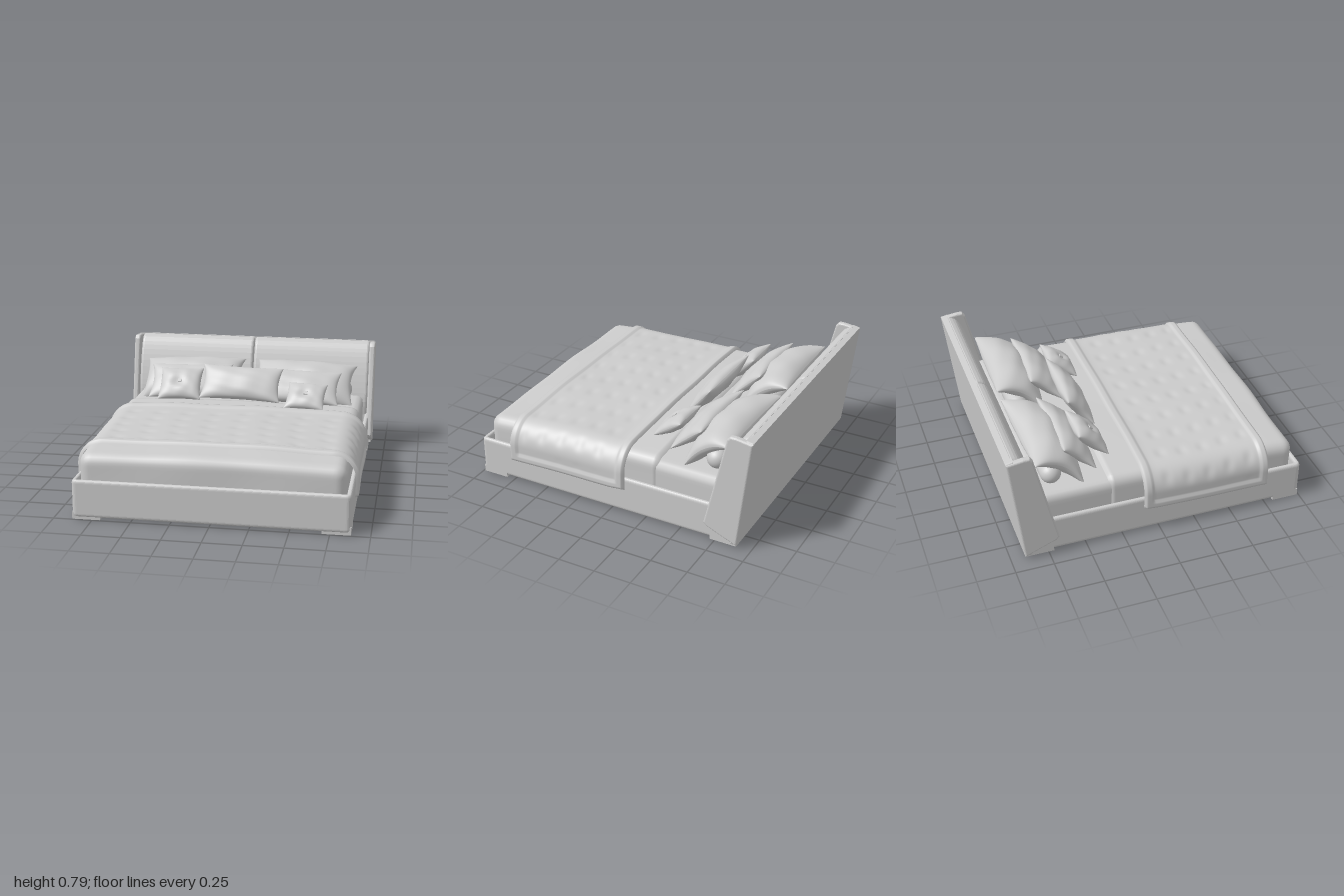
import * as THREE from 'three';
import { mergeGeometries } from 'three/addons/utils/BufferGeometryUtils.js';

const material = new THREE.MeshStandardMaterial({ color: 0xcccccc, side: THREE.DoubleSide });
const smooth = THREE.MathUtils.smoothstep;
const clamp = THREE.MathUtils.clamp;

function add(parent, name, geometry, x = 0, y = 0, z = 0) {
  const mesh = new THREE.Mesh(geometry, material);
  mesh.name = name;
  mesh.position.set(x, y, z);
  parent.add(mesh);
}

// Extrudes a [z, y] side profile along x, between x0 and x1, with rounded edges
function sideExtrude(profile, x0, x1, bevel) {
  const shape = new THREE.Shape(profile.map(([z, y]) => new THREE.Vector2(-z, y)));
  const geometry = new THREE.ExtrudeGeometry(shape, {
    depth: x1 - x0 - 2 * bevel, bevelSize: bevel, bevelThickness: bevel, bevelOffset: -bevel, bevelSegments: 4,
  });
  return geometry.rotateY(Math.PI / 2).translate(x0 + bevel, 0, 0);
}

function roundedRect(path, x, y0, y1, r) {
  path.moveTo(-x + r, y0);
  path.lineTo(x - r, y0);
  path.quadraticCurveTo(x, y0, x, y0 + r);
  path.lineTo(x, y1 - r);
  path.quadraticCurveTo(x, y1, x - r, y1);
  path.lineTo(-x + r, y1);
  path.quadraticCurveTo(-x, y1, -x, y1 - r);
  path.lineTo(-x, y0 + r);
  path.quadraticCurveTo(-x, y0, -x + r, y0);
  return path;
}

// A cloth sheet that lies flat, then folds down over rounded sides (and either end).
// top(x, z) is the resting height; relief(a, b, x, z) lifts the cloth,
// where a and b are distances to the side and end hems.
function drape({ halfWidth, back, front, radius, drop, top, foldFront, foldBack, relief, nx, nz }) {
  const arc = radius * Math.PI / 2;
  const extra = arc - radius + drop - radius;
  const halfCloth = halfWidth + extra;
  const start = back - (foldBack ? extra : 0);
  const end = front + (foldFront ? extra : 0);
  const geometry = new THREE.PlaneGeometry(2, 2, nx, nz);
  const pos = geometry.attributes.position;
  for (let i = 0; i < pos.count; i++) {
    const x = pos.getX(i) * halfCloth;
    const z = start + (end - start) * (1 - pos.getY(i)) / 2;
    const flatX = clamp(x, -halfWidth + radius, halfWidth - radius);
    const flatZ = clamp(z, foldBack ? back + radius : start, foldFront ? front - radius : end);
    const ex = x - flatX, ez = z - flatZ;
    const e = Math.hypot(ex, ez);
    const angle = Math.min(e / radius, Math.PI / 2);
    const lift = relief(halfCloth - Math.abs(x), Math.min(z - start, end - z), x, z);
    const out = (radius + lift) * Math.sin(angle);
    const down = radius - (radius + lift) * Math.cos(angle) + clamp(e - arc, 0, drop - radius);
    const k = e > 0 ? out / e : 0;
    pos.setXYZ(i, flatX + ex * k, top(flatX, flatZ) - down, flatZ + ez * k);
  }
  geometry.computeVertexNormals();
  return geometry;
}

// Stuffed cushion: two domed faces meeting at a seam with drawn-in sides, bent backwards
function cushion(w, h, t, bend, dimple) {
  const faces = [1, -1].map((side) => {
    const geometry = new THREE.PlaneGeometry(2, 2, 28, 24);
    const pos = geometry.attributes.position;
    for (let i = 0; i < pos.count; i++) {
      const u = Math.sin(pos.getX(i) * Math.PI / 2);
      const v = Math.sin(pos.getY(i) * Math.PI / 2);
      const dome = Math.pow(Math.max(0, (1 - u * u) * (1 - v * v)), 0.45);
      const crease = 1 + 0.07 * Math.sin(7 * u + 4 * v) * Math.cos(5 * v - 2 * u);
      const pit = dimple * Math.exp(-(u * u + v * v) * 12);
      pos.setXYZ(i,
        side * w / 2 * u * (1 - 0.08 * (1 - v * v) * u * u),
        h / 2 * v * (1 - 0.1 * (1 - u * u) * v * v),
        side * t / 2 * dome * (crease - pit) - bend * v * v);
    }
    geometry.computeVertexNormals();
    return geometry;
  });
  return mergeGeometries(faces);
}

function addCushion(parent, name, [w, h, t, bend], [x, y, z], tilt, roll, button = false) {
  const group = new THREE.Group();
  group.name = name;
  group.position.set(x, y, z);
  group.rotation.set(-THREE.MathUtils.degToRad(tilt), 0, roll);
  add(group, name + 'Body', cushion(w, h, t, bend, button ? 0.35 : 0));
  if (button) add(group, name + 'Button', new THREE.BoxGeometry(0.027, 0.027, 0.016), 0, 0, t * 0.35);
  parent.add(group);
}

export function createModel() {
  const bed = new THREE.Group();
  bed.name = 'bed';

  // Upholstered frame of thin rails, open in the middle
  const outline = roundedRect(new THREE.Shape(), 0.866, -0.984, 0.876, 0.02);
  outline.holes.push(roundedRect(new THREE.Path(), 0.86, -0.978, 0.87, 0.02));
  const frame = new THREE.ExtrudeGeometry(outline, {
    depth: 0.2, bevelSize: 0.014, bevelThickness: 0.022, bevelSegments: 5, curveSegments: 6,
  });
  add(bed, 'bedFrame', frame.rotateX(-Math.PI / 2).translate(0, 0.038, 0));

  // L-shaped corner feet
  for (const x of [-1, 1]) {
    for (const [name, z, s] of [['frontFoot', 0.99, 1], ['backFoot', -0.895, -1]]) {
      add(bed, name, new THREE.BoxGeometry(0.18, 0.05, 0.06), x * 0.79, 0.025, z - s * 0.03);
      add(bed, name, new THREE.BoxGeometry(0.06, 0.05, 0.12), x * 0.85, 0.025, z - s * 0.12);
    }
  }

  // Leaning headboard with side wings and two padded panels
  const panel = [[-0.91, 0.02], [-0.86, 0.02], [-0.95, 0.785], [-1, 0.775]];
  add(bed, 'headboardBack', sideExtrude(panel, -0.9, 0.9, 0.012));
  const wing = [[-0.91, 0.02], [-0.7, 0.105], [-0.68, 0.13], [-0.83, 0.765], [-0.85, 0.787], [-0.89, 0.787], [-1, 0.77]];
  const padFront = new THREE.SplineCurve([[-0.78, 0.26], [-0.768, 0.36], [-0.785, 0.46], [-0.825, 0.6], [-0.87, 0.71], [-0.91, 0.765], [-0.96, 0.785]]
    .map(([z, y]) => new THREE.Vector2(z, y)));
  const pad = [[-0.91, 0.26], ...padFront.getPoints(18).map((p) => [p.x, p.y])];
  for (const s of [-1, 1]) {
    add(bed, 'headboardWing', sideExtrude(wing, s > 0 ? 0.865 : -0.908, s > 0 ? 0.908 : -0.865, 0.014));
    add(bed, 'headboardPad', sideExtrude(pad, s > 0 ? 0.002 : -0.865, s > 0 ? 0.865 : -0.002, 0.02));
  }

  // Mattress end that shows beyond the duvet
  const soft = (x, z) => 0.004 * Math.sin(9 * x + 3 * z) * Math.cos(6 * z - 2 * x);
  add(bed, 'mattress', drape({
    halfWidth: 0.835, back: -0.79, front: -0.28, radius: 0.045, drop: 0.2,
    top: () => 0.412, foldBack: true, nx: 70, nz: 40, relief: () => 0,
  }));

  // Duvet, open underneath
  const duvetTop = (x, z) => 0.452 - 0.016 * z - 0.022 * x * x - 0.01 * smooth(z, 0.7, 0.95);
  add(bed, 'duvet', drape({
    halfWidth: 0.842, back: -0.325, front: 0.95, radius: 0.07, drop: 0.24,
    top: duvetTop, foldFront: true, nx: 100, nz: 80,
    relief: (a, b, x, z) => soft(x, z) - (z < -0.31 ? 0.02 : 0),
  }));

  // Tufted throw with a raised hem, hanging down both sides
  add(bed, 'throwBlanket', drape({
    halfWidth: 0.893, back: -0.11, front: 0.755, radius: 0.16, drop: 0.28, nx: 170, nz: 84,
    top: (x, z) => duvetTop(x, z) + 0.012 + 0.006 * smooth(-z, 0, 0.1),
    relief: (a, b, x, z) => {
      const edge = Math.min(a, b);
      const hem = 0.01 * (1 - smooth(edge, 0.05, 0.065));
      const tuft = 0.007 * Math.pow(Math.sin(16 * x + 0.4 * Math.sin(6 * z)) * Math.sin(22 * z + 0.5 * Math.sin(5 * x)), 4);
      const tuck = 0.022 * (1 - smooth(edge, 0, 0.012));
      return soft(x, z) + 0.003 + hem - tuck - tuft * smooth(edge, 0.06, 0.12);
    },
  }));

  // Bolsters and sleeping pillows, in pairs
  for (const s of [-1, 1]) {
    const bolster = new THREE.CapsuleGeometry(0.068, 0.6, 8, 24).rotateZ(Math.PI / 2);
    add(bed, 'bolster', bolster, s * 0.39, 0.478, -0.67);
    addCushion(bed, 'sleepingPillow', [0.74, 0.39, 0.19, 0.05], [s * 0.41, 0.56, -0.615], 55, s * -0.04);
  }
  addCushion(bed, 'leftPillow', [0.6, 0.29, 0.13, 0], [0.385, 0.54, -0.45], 50, -0.03);
  addCushion(bed, 'rightPillow', [0.6, 0.29, 0.13, 0], [-0.405, 0.545, -0.48], 47, 0.03);

  // Small cushions in front
  addCushion(bed, 'lumbarCushion', [0.58, 0.27, 0.12, 0], [-0.01, 0.58, -0.33], 40, -0.03);
  addCushion(bed, 'rightSquareCushion', [0.31, 0.27, 0.11, 0], [-0.455, 0.553, -0.355], 47, 0.02, true);
  addCushion(bed, 'leftSquareCushion', [0.28, 0.24, 0.1, 0], [0.46, 0.52, -0.27], 56, -0.05, true);

  return bed;
}
